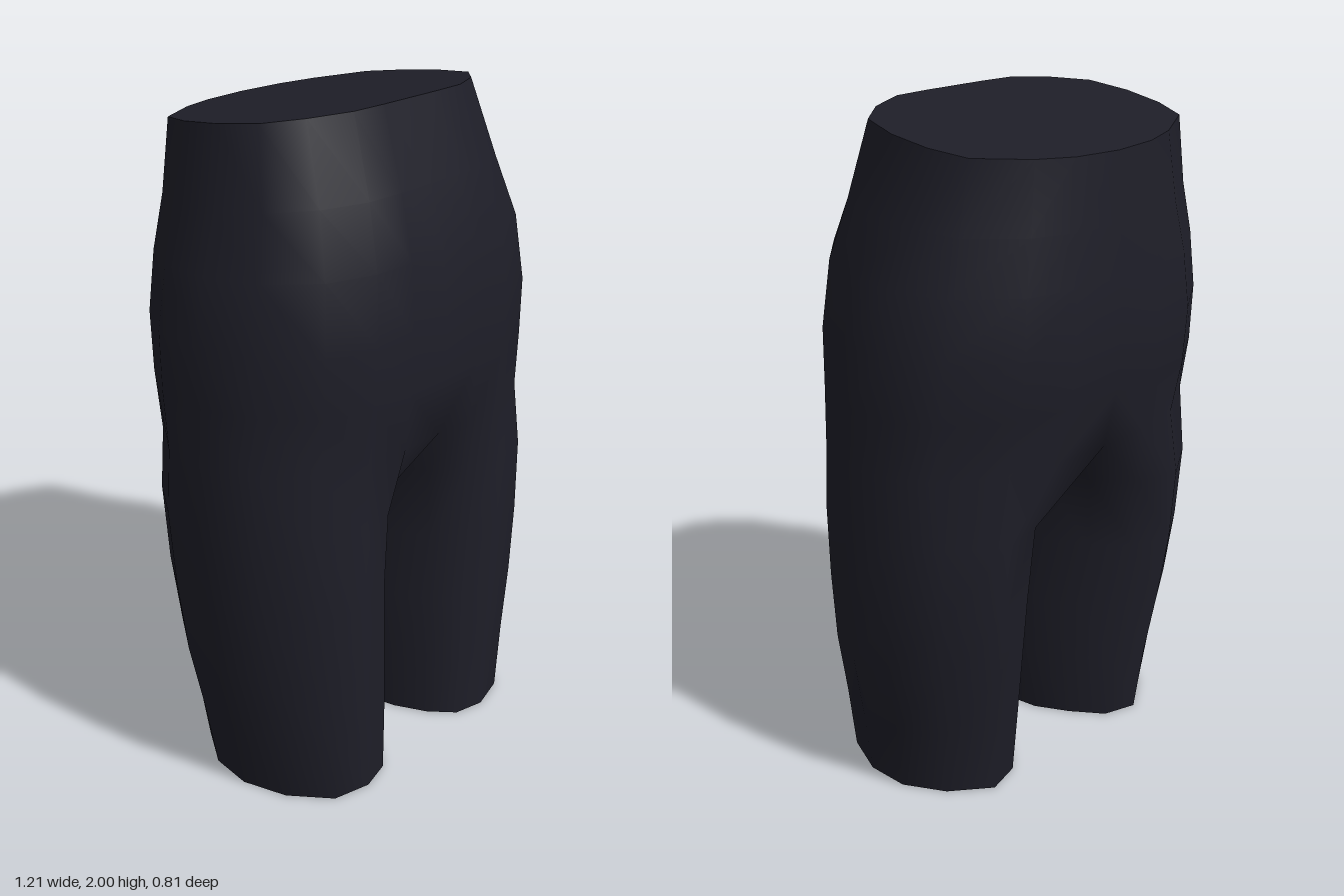
import * as THREE from 'three';
import { mergeVertices } from 'three/addons/utils/BufferGeometryUtils.js';

// Half outlines, front centre round to back centre: [share of half width, share of depth]
const HIPS = [[0, 1], [0.24, 1], [0.47, 0.985], [0.71, 0.86], [0.91, 0.52], [1, 0.12],
  [0.98, -0.27], [0.84, -0.6], [0.55, -0.9], [0.28, -0.98], [0, -1]];
const WAIST = [[0, 1], [0.24, 1], [0.48, 0.985], [0.74, 0.82], [0.94, 0.575], [1, 0.18],
  [0.98, -0.23], [0.89, -0.575], [0.57, -0.84], [0.32, -0.955], [0, -1]];
// Closed leg outline in the same order: [inner 0 to outer 1, back 0 to front 1]
const LEG = [[0.15, 0.84], [0.28, 0.96], [0.48, 1], [0.72, 0.95], [0.91, 0.76], [1, 0.54], [0.97, 0.33],
  [0.81, 0.14], [0.56, 0], [0.34, 0.05], [0.18, 0.2], [0.05, 0.36], [0, 0.52], [0.05, 0.68]];
// Torso rings: y, half width, front z, back z, tilt, share of the waist outline
const TORSO_RINGS = [
  [1.967, 0.44, 0.26, -0.378, 0.126, 1], [1.76, 0.49, 0.335, -0.39, 0.08, 0.6],
  [1.6, 0.55, 0.388, -0.4, 0.04, 0.2], [1.42, 0.585, 0.408, -0.407, 0, 0],
  [1.25, 0.59, 0.403, -0.393, 0, 0], [1.08, 0.597, 0.39, -0.352, 0, 0]];
// Leg rings: y, inner x, outer x, front z, back z
const LEG_RINGS = [
  [0.88, 0.01, 0.607, 0.39, -0.335], [0.65, 0.03, 0.6, 0.39, -0.315], [0.43, 0.028, 0.585, 0.388, -0.285],
  [0.22, 0.034, 0.55, 0.386, -0.255], [0, 0.048, 0.52, 0.385, -0.23]];
// Crotch bridge from back centre to front centre
const CROTCH = [[0, 0.99, -0.2], [0, 0.95, 0.02], [0, 0.99, 0.24]];

const torsoRing = ([y, w, f, b, tilt, blend]) => HIPS.map(([u, v], i) => {
  const across = THREE.MathUtils.lerp(u, WAIST[i][0], blend);
  const z = (f + b) / 2 + THREE.MathUtils.lerp(v, WAIST[i][1], blend) * (f - b) / 2;
  return [across * w, y + tilt * z, z];
});
const legRing = ([y, xi, xo, f, b]) => LEG.map(([u, v]) => [xi + u * (xo - xi), y, b + v * (f - b)]);

// Triangles of one half, mirrored to the other side with the winding flipped
function mirrored(triangles) {
  const out = [];
  for (const [a, b, c] of triangles) {
    out.push(...a, ...b, ...c);
    for (const p of [a, c, b]) out.push(p[0] === 0 ? 0 : -p[0], p[1], p[2]);
  }
  let g = new THREE.BufferGeometry();
  g.setAttribute('position', new THREE.Float32BufferAttribute(out, 3));
  g = mergeVertices(g, 1e-4);
  g.computeVertexNormals();
  return g;
}

function loft(rings, closed, tris) {
  for (let r = 0; r < rings.length - 1; r++) {
    const up = rings[r], low = rings[r + 1], n = up.length;
    for (let i = 0; i < (closed ? n : n - 1); i++) {
      const j = (i + 1) % n;
      tris.push([up[i], low[i], up[j]], [up[j], low[i], low[j]]);
    }
  }
}

export function createModel() {
  const group = new THREE.Group();
  group.name = 'shorts';
  const fabric = new THREE.MeshStandardMaterial({ color: 0x1e1e28, side: THREE.DoubleSide });
  fabric.name = 'dark navy fabric';
  const add = (name, tris) => {
    const mesh = new THREE.Mesh(mirrored(tris), fabric);
    mesh.name = name;
    group.add(mesh);
  };

  // Hips and both legs as one smooth skin, open at the hems
  const torso = TORSO_RINGS.map(torsoRing);
  const legs = [[...torso[torso.length - 1], ...CROTCH], ...LEG_RINGS.map(legRing)];
  const skin = [];
  loft(torso, false, skin);
  loft(legs, true, skin);
  add('hipsAndLegs', skin);

  // Flat tilted closure at the waist
  const waist = torso[0], waistCentre = [0, 1.967 - 0.126 * 0.05, -0.05];
  add('waistTop', waist.slice(1).map((p, i) => [waistCentre, waist[i], p]));

  return group;
}
